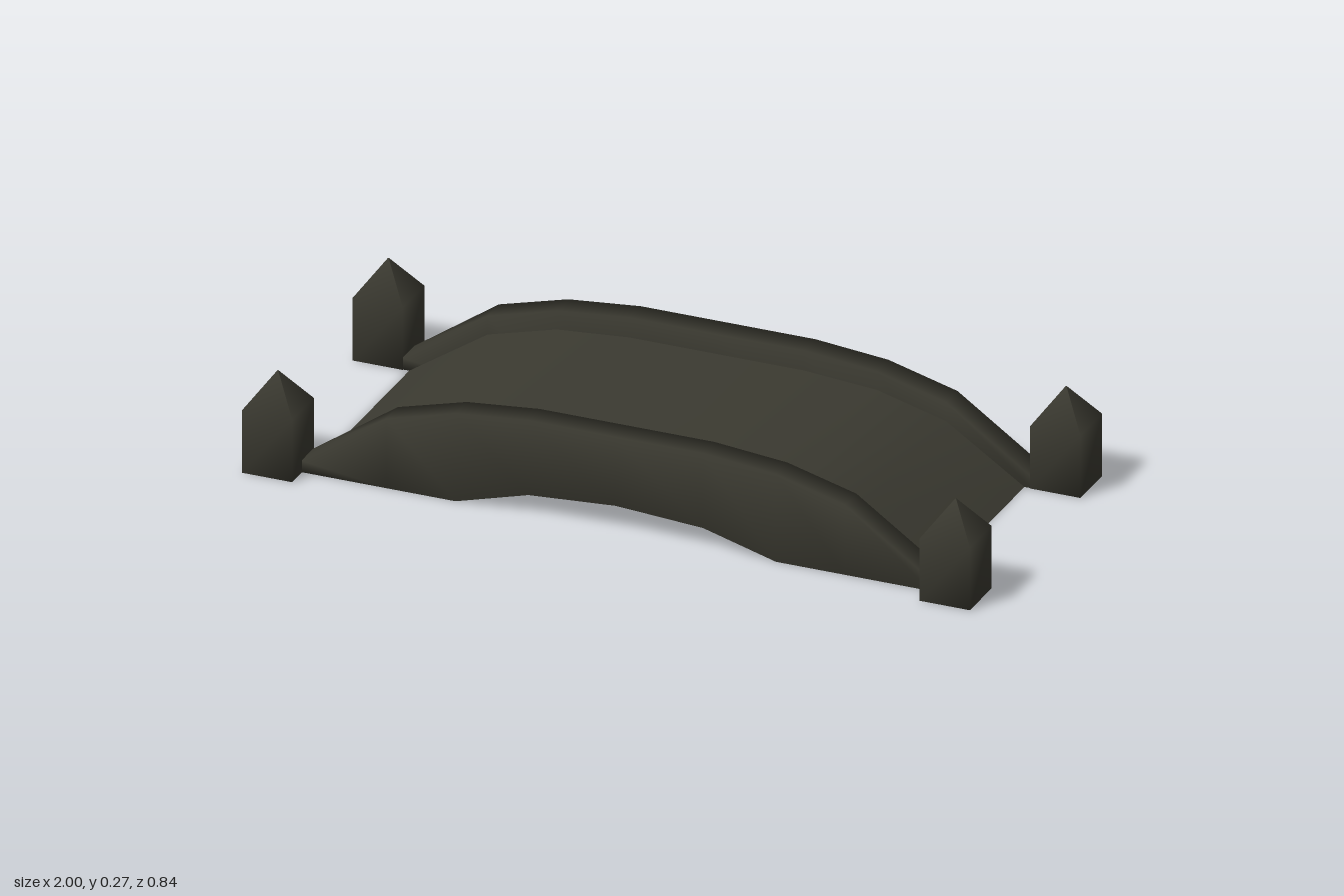
import * as THREE from 'three';

// Smooth closed solid through rings of points, counter-clockwise seen from the far end.
function loft(rings) {
  const n = rings[0].length, last = (rings.length - 1) * n, index = [];
  for (let i = 0; i < rings.length - 1; i++) {
    for (let j = 0; j < n; j++) {
      const a = i * n + j, b = i * n + (j + 1) % n;
      index.push(a, b, b + n, a, b + n, a + n);
    }
  }
  for (let j = 1; j < n - 1; j++) {
    index.push(0, j + 1, j, last, last + j, last + j + 1);
  }
  const g = new THREE.BufferGeometry();
  g.setAttribute('position', new THREE.Float32BufferAttribute(rings.flat(2), 3));
  g.setIndex(index);
  g.computeVertexNormals();
  return g;
}

export function createModel() {
  const group = new THREE.Group();
  group.name = 'archedBridge';
  const stone = new THREE.MeshStandardMaterial({ color: 0x3b3a31, side: THREE.DoubleSide });
  stone.name = 'dark stone';
  const add = (name, geometry, x = 0, z = 0) => {
    const mesh = new THREE.Mesh(geometry, stone);
    mesh.name = name;
    mesh.position.set(x, 0, z);
    group.add(mesh);
  };

  // Arch stations: x, underside height, parapet top height
  const half = [[0.24, 0.056, 0.265], [0.44, 0, 0.246], [0.63, 0, 0.195], [0.865, 0, 0.032]];
  const stations = [
    ...half.map(([x, lo, hi]) => [-x, lo, hi]).reverse(),
    [0, 0.072, 0.265],
    ...half,
  ];

  // Arched side parapets
  const w = 0.0365;
  const parapet = loft(stations.map(([x, lo, hi]) =>
    [[x, lo, w], [x, lo, -w], [x, hi, -w], [x, hi, w]]));
  add('frontParapet', parapet, 0, 0.322);
  add('backParapet', parapet, 0, -0.322);

  // Curved walkway: a thin sheet following the parapet
  const deckHalf = [[0.24, 0.21], [0.44, 0.194], [0.63, 0.143], [0.845, 0]];
  const path = [...deckHalf.map(([x, y]) => [-x, y]).reverse(), [0, 0.21], ...deckHalf];
  const deck = new THREE.PlaneGeometry(2, 0.572, path.length - 1, 1).rotateX(-Math.PI / 2);
  const p = deck.attributes.position;
  for (let i = 0; i < p.count; i++) {
    const [x, y] = path[i % path.length];
    p.setXYZ(i, x, y, p.getZ(i));
  }
  deck.computeVertexNormals();
  add('walkway', deck);

  // Corner posts with pointed tops
  const square = (s, y) => [[s, y, s], [s, y, -s], [-s, y, -s], [-s, y, s]];
  const post = loft([square(0.069, 0), square(0.069, 0.175), square(0.001, 0.27)]);
  for (const sx of [1, -1]) {
    for (const sz of [1, -1]) {
      add((sz > 0 ? 'front' : 'back') + (sx > 0 ? 'Left' : 'Right') + 'Post',
        post, sx * 0.931, sz * 0.352);
    }
  }
  return group;
}
